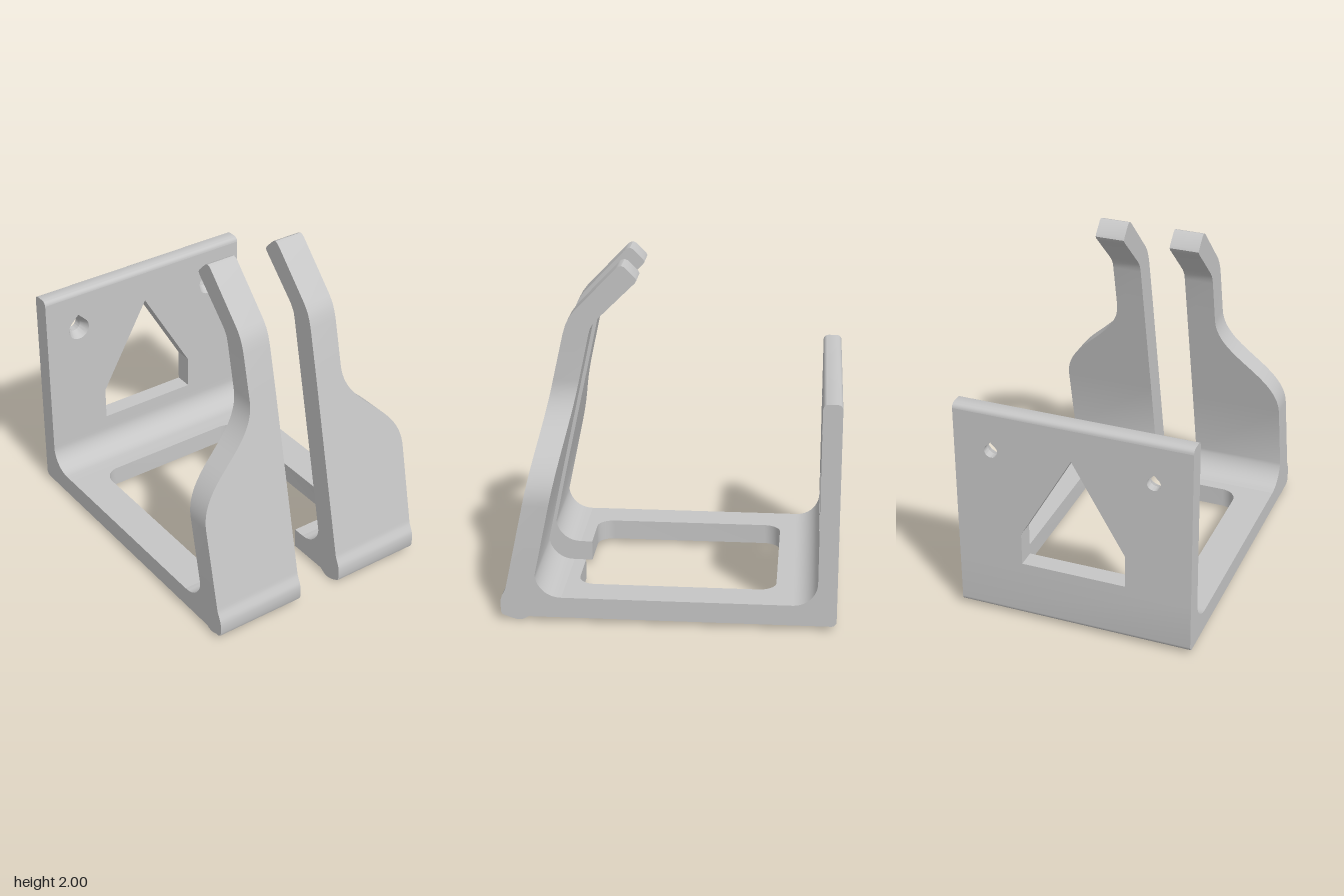
import * as THREE from 'three';
import { toCreasedNormals } from 'three/addons/utils/BufferGeometryUtils.js';

const v2 = (x, y) => new THREE.Vector2(x, y);

// Points on an arc, angles in degrees
function arc(cx, cy, r, a0, a1, n = 10) {
  return Array.from({ length: n + 1 }, (_, i) => {
    const a = THREE.MathUtils.degToRad(a0 + ((a1 - a0) * i) / n);
    return [cx + r * Math.cos(a), cy + r * Math.sin(a)];
  });
}

// Skin a stack of equal closed rings, optionally capping four-sided ends
function loft(rings, capped) {
  const n = rings[0].length, idx = [], last = (rings.length - 1) * n;
  for (let r = 0; r < rings.length - 1; r++) {
    for (let i = 0; i < n; i++) {
      const a = r * n + i, b = r * n + ((i + 1) % n);
      idx.push(a, b, b + n, a, b + n, a + n);
    }
  }
  if (capped) idx.push(0, 2, 1, 0, 3, 2, last, last + 1, last + 2, last, last + 2, last + 3);
  const g = new THREE.BufferGeometry();
  g.setAttribute('position', new THREE.Float32BufferAttribute(rings.flat(2), 3));
  g.setIndex(idx);
  return toCreasedNormals(g, 0.5);
}

// Extrude a [z, y] profile along x
function extrudeX(profile, x0, x1) {
  const shape = new THREE.Shape(profile.map(([z, y]) => v2(-z, y)));
  const g = new THREE.ExtrudeGeometry(shape, { depth: x1 - x0, bevelEnabled: false });
  return toCreasedNormals(g.rotateY(Math.PI / 2).translate(x0, 0, 0), 0.5);
}

// Screw hole outline: a circle with a pointed top
const teardrop = (cx, cy, r) => [...arc(cx, cy, r, 135, 405, 24), [cx, cy + r * Math.SQRT2]];

export function createModel() {
  const model = new THREE.Group();
  const grey = new THREE.MeshStandardMaterial({ color: 0xc6c6c6 });
  grey.name = 'lightGrey';
  const add = (name, geometry) => {
    const mesh = new THREE.Mesh(geometry, grey);
    mesh.name = name;
    model.add(mesh);
  };
  const W = 0.703, holeX = 0.48, holeY = 1.085;
  const bottom = 0.025, floor = 0.147;

  // Back plate in two layers, so the screw holes can narrow towards the back
  const layer = (name, z0, z1, r) => {
    const shape = new THREE.Shape([v2(-W, 0.33), v2(W, 0.33), v2(W, 1.315), v2(-W, 1.315)]);
    const house = [[-0.314, 0.375], [0.314, 0.375], [0.314, 0.575], [0, 1.122], [-0.314, 0.575]];
    for (const pts of [house, teardrop(-holeX, holeY, r), teardrop(holeX, holeY, r)]) {
      shape.holes.push(new THREE.Path(pts.map(p => v2(...p))));
    }
    const g = new THREE.ExtrudeGeometry(shape, { depth: z1 - z0, bevelEnabled: false });
    add(name, toCreasedNormals(g.translate(0, 0, z0), 0.5));
  };
  layer('backPlateRear', -0.96, -0.91, 0.04);
  layer('backPlateFront', -0.91, -0.85, 0.07);

  // Sloping walls of the screw holes
  for (const s of [-1, 1]) {
    const ring = (r, z) => teardrop(s * holeX, holeY, r).map(([x, y]) => [x, y, z]);
    add('countersink', loft([ring(0.07, -0.85), ring(0.04, -0.91)], false));
  }

  // Rounded top edge of the back plate
  add('backPlateTop', extrudeX([
    ...arc(-0.93, 1.315, 0.03, 180, 90, 5), ...arc(-0.88, 1.315, 0.03, 90, 0, 5),
  ], -W, W));

  // Filleted corner between back plate and base
  add('backCorner', extrudeX([
    [-0.65, bottom], [-0.65, floor], ...arc(-0.71, floor + 0.14, 0.14, 270, 180, 12), [-0.85, 0.33],
    [-0.96, 0.33], ...arc(-0.93, bottom + 0.03, 0.03, 180, 270, 5),
  ], -W, W));

  // Base frame, open between the two arms
  const half = [
    [W, -0.65], [W, 0.61], [0.14, 0.61], [0.14, 0.54],
    ...arc(0.395, 0.44, 0.1, 90, 0), ...arc(0.395, -0.51, 0.1, 0, -90),
  ];
  const outline = [...half, ...half.map(([x, z]) => [-x, z]).reverse()];
  const base = new THREE.ExtrudeGeometry(
    new THREE.Shape(outline.map(([x, z]) => v2(x, -z))),
    { depth: floor - bottom, bevelEnabled: false });
  add('baseFrame', toCreasedNormals(base.rotateX(-Math.PI / 2).translate(0, bottom, 0), 0.5));

  // Arm stations: [front z, front y, back z, back y, outer x]
  const frontZ = y => 0.93 - 0.213 * (y - 0.19);
  const backZ = y => 0.76 - 0.214 * (y - 0.29);
  const stations = [
    [0.935, bottom, 0.61, bottom, W], [0.953, 0.035, 0.61, 0.035, W], [0.96, 0.055, 0.61, 0.055, W],
    [0.96, 0.12, 0.61, 0.12, W], [0.952, floor, 0.61, floor, W],
  ];
  for (const [z, y] of arc(0.615, floor + 0.146, 0.145, -90, -5, 10)) {
    stations.push([y < 0.19 ? 0.952 - 0.5 * (y - floor) : frontZ(y), y, z, y, W]);
  }
  const shoulder = new THREE.CubicBezierCurve(v2(W, 0.7), v2(W, 0.98), v2(0.316, 1.06), v2(0.316, 1.33));
  for (const p of shoulder.getPoints(28)) stations.push([frontZ(p.y), p.y, backZ(p.y), p.y, p.x]);
  for (const s of [
    [0.627, 1.6, 0.48, 1.6], [0.612, 1.65, 0.47, 1.635], [0.594, 1.69, 0.455, 1.66],
    [0.565, 1.73, 0.437, 1.683], [0.325, 1.98, 0.232, 1.885], [0.309, 1.994, 0.214, 1.902],
    [0.29, 2, 0.205, 1.918], [0.271, 1.992, 0.213, 1.934],
  ]) stations.push([...s, 0.316]);

  for (const s of [-1, 1]) {
    const rings = stations.map(([fz, fy, bz, by, x]) => {
      const ring = [[s * 0.14, fy, fz], [s * x, fy, fz], [s * x, by, bz], [s * 0.14, by, bz]];
      return s > 0 ? ring : ring.reverse();
    });
    add(s > 0 ? 'leftArm' : 'rightArm', loft(rings, true));
    // Low ridge under the front edge
    const ends = [s * 0.14, s * (W - 0.008)].sort((a, b) => a - b);
    add(s > 0 ? 'leftFoot' : 'rightFoot', extrudeX(
      [[0.943, 0.033], [0.92, 0.016], [0.87, 0.001], [0.85, 0], [0.83, 0.004], [0.78, 0.033]], ...ends));
  }
  return model;
}
